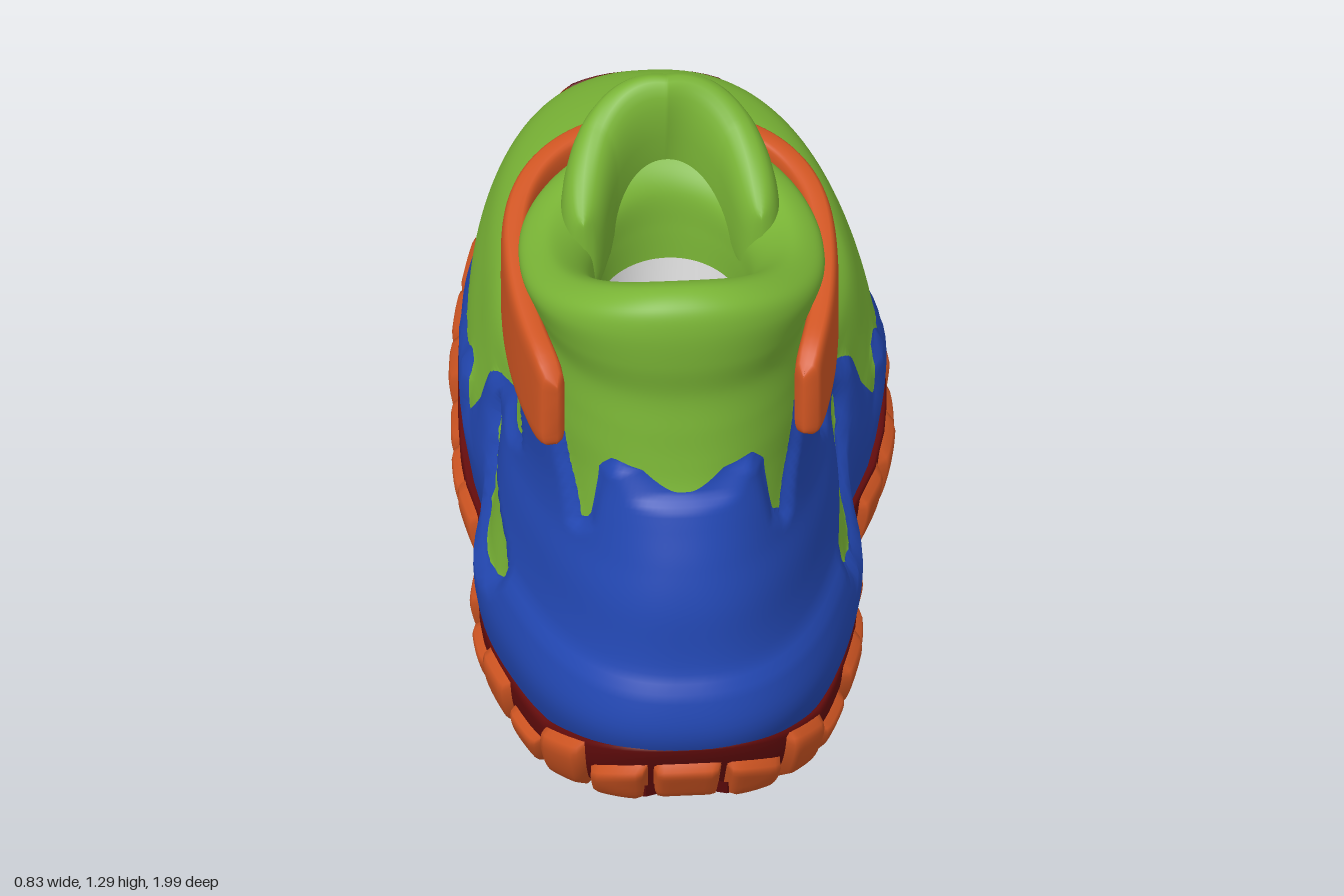
import * as THREE from 'three';
import { mergeVertices, mergeGeometries } from 'three/addons/utils/BufferGeometryUtils.js';

const V = (x, y, z) => new THREE.Vector3(x, y, z);
const { lerp, clamp, smoothstep } = THREE.MathUtils;
const mat = (name, color) => Object.assign(new THREE.MeshStandardMaterial({ color }), { name });
const spow = (v, e) => Math.sign(v) * Math.abs(v) ** e;

// Linear lookup in a [z, value] table
function at(table, z) {
  let i = 0;
  while (i < table.length - 2 && z > table[i + 1][0]) i++;
  const [a, b] = [table[i], table[i + 1]];
  return lerp(a[1], b[1], clamp((z - a[0]) / (b[0] - a[0]), 0, 1));
}
const soleBottom = z => at([[-1, .27], [-.9, .14], [-.7, .06], [-.4, .02], [-.1, .012], [0, .025], [.4, .045], [.75, .05], [.9, .09], [1, .18]], z);
const soleTop = z => at([[-1, .345], [-.95, .34], [-.88, .26], [-.8, .22], [-.6, .18], [-.4, .17], [-.2, .175], [0, .14], [.3, .17], [.8, .18], [1, .25]], z);

// Shared plan shape: curved centre line and narrow waist
const centre = z => lerp(.01, -.045, smoothstep(z, -.3, .45));
const waist = z => 1.04 - .16 * Math.exp(-(((z - .22) / .22) ** 2)) - .08 * smoothstep(z, .3, .7);

// Upper rings: back z, back y, front z, front y, half width, squareness, side dip
const RINGS = [
  [.93, .2, -.93, .2, .355, 2.5, .06],
  [.965, .28, -.95, .30, .37, 2.5, .02],
  [.94, .41, -.93, .375, .345, 2.4, 0],
  [.93, .52, -.82, .418, .325, 2.3, 0],
  [.91, .60, -.60, .45, .30, 2.2, 0],
  [.885, .67, -.35, .51, .28, 2.2, 0],
  [.86, .74, -.10, .61, .268, 2.2, 0],
  [.85, .80, .08, .74, .258, 2.2, 0],
  [.845, .86, .15, .84, .25, 2.2, 0],
  [.84, .94, .185, .93, .247, 2.2, 0],
  [.855, 1.02, .195, 1.0, .268, 2.2, .01],
  [.86, 1.1, .205, 1.06, .282, 2.2, .04],
  [.845, 1.15, .225, 1.1, .265, 2.2, .06],
  [.80, 1.17, .26, 1.12, .225, 2.1, .07],
  [.745, 1.14, .31, 1.1, .18, 2.1, .07],
  [.705, 1.07, .345, 1.05, .152, 2, .05],
  [.685, .97, .35, .97, .142, 2, .02],
  [.68, .88, .35, .9, .14, 2, 0],
];
function ringAt(t) {
  const f = t * (RINGS.length - 1), i = Math.min(Math.floor(f), RINGS.length - 2), s = f - i;
  const r = k => RINGS[clamp(i + k, 0, RINGS.length - 1)];
  return RINGS[0].map((_, c) => {
    const [a, b, d, e] = [r(-1)[c], r(0)[c], r(1)[c], r(2)[c]];
    return b + .5 * s * (d - a + s * (2 * a - 5 * b + 4 * d - e + s * (3 * (b - d) + e - a)));
  });
}
function upperPoint(u, t) {
  const a = u * Math.PI * 2, [zb, yb, zf, yf, w, p, dip] = ringAt(t);
  const c = spow(Math.cos(a), 2 / p), s = (1 - c) / 2, z = lerp(zb, zf, s);
  const y = lerp(yb, yf, s) - dip * 4 * s * (1 - s);
  const m = lerp(1, waist(z), clamp((.75 - y) / .3, 0, 1));
  return V(centre(z) + w * m * spow(Math.sin(a), 2 / p), y, z);
}
// Sole surface: v below 0 turns in on top, 0..1 is the wall, 1..2 the underside
function solePoint(u, v) {
  const a = u * Math.PI * 2;
  const f = v < 0 ? 1 + .25 * v : 1 - .07 * Math.min(v, 1) ** 2;
  const z0 = .98 * spow(Math.cos(a), .8), z = z0 * f;
  const x = .386 * waist(z0) * spow(Math.sin(a), .8) * f * (v > 1 ? 2 - v : 1);
  return V(centre(z) + x, lerp(soleTop(z), soleBottom(z), clamp(v, 0, 1)), z);
}
// Moves a surface point along its normal
function offset(fn, u, v, d) {
  const e = .002, p = fn(u, v);
  const n = fn(u + e, v).sub(fn(u - e, v)).cross(fn(u, Math.min(v + e, 1)).sub(fn(u, Math.max(v - e, 0))));
  return p.addScaledVector(n.normalize(), d);
}
function fromSoup(points) {
  const m = mergeVertices(new THREE.BufferGeometry().setFromPoints(points), 1e-5);
  m.computeVertexNormals();
  return m;
}
// Triangles of a surface fn(u, v) with u, v in 0..1
function triangles(nu, nv, fn) {
  const P = [], out = [];
  for (let j = 0; j <= nv; j++) for (let i = 0; i <= nu; i++) P.push(fn(i / nu, j / nv));
  for (let j = 0; j < nv; j++) for (let i = 0; i < nu; i++) {
    const a = j * (nu + 1) + i, b = a + nu + 1;
    out.push([P[a], P[a + 1], P[b + 1]], [P[a], P[b + 1], P[b]]);
  }
  return out;
}
const surface = (nu, nv, fn) => fromSoup(triangles(nu, nv, fn).flat());

// Upright band with rounded section along a plan path; k runs 0 at the front to 1 at both ends
function band(path, half, thick, lean, round) {
  return surface(100, 28, (u, v) => {
    const p = path(2 * u - 1), q = v * Math.PI * 2, k = Math.abs(2 * u - 1);
    const dir = path(Math.min(2 * u - .99, 1)).sub(path(Math.max(2 * u - 1.01, -1)));
    const n = V(dir.z, 0, -dir.x).normalize();
    if (n.dot(V(p.x + .043, 0, p.z - .5)) < 0) n.negate();
    const up = half(k) * spow(Math.sin(q), round), out = thick(k) * spow(Math.cos(q), round + .15);
    return V(p.x + n.x * out, p.y + up, p.z + n.z * out + up * lean * Math.max(0, 1 - k / .6));
  });
}

// Side outlines (z, y) of the overlay and of its window
const OVERLAY = [[1.2, -.1], [-.9, -.1], [-.9, .3], [-.8, .285], [-.6, .255], [-.4, .265], [-.2, .3], [-.17, .335], [-.09, .34],
  [-.06, .27], [-.01, .265], [.015, .4], [.04, .43], [.12, .465], [.25, .53], [.42, .565], [.48, .6], [.45, .68], [.38, .82],
  [.7, .82], [.72, .72], [.765, .62], [.785, .64], [.79, .76], [.81, .79], [.84, .78], [.862, .735], [1.2, .7]];
const WINDOW = [[.57, .35], [.52, .385], [.43, .415], [.28, .432], [.16, .43], [.14, .41], [.2, .35], [.32, .31], [.45, .3], [.54, .32]];
// Signed distance to a polygon, positive inside
function inside(poly, x, y) {
  let d = 1e9, s = -1;
  poly.forEach(([ax, ay], i) => {
    const [bx, by] = poly[(i + 1) % poly.length], ex = bx - ax, ey = by - ay;
    const t = clamp(((x - ax) * ex + (y - ay) * ey) / (ex * ex + ey * ey), 0, 1);
    d = Math.min(d, Math.hypot(x - ax - ex * t, y - ay - ey * t));
    if ((ay > y) !== (by > y) && x < ax + ex * (y - ay) / ey) s = -s;
  });
  return d * s;
}
// Part of a triangle where sign * d is positive
function clip(tri, sign) {
  const poly = [], out = [];
  tri.forEach((p, i) => {
    const q = tri[(i + 1) % 3];
    if (p.d * sign >= 0) poly.push(p);
    if (p.d * q.d < 0) poly.push(p.clone().lerp(q, p.d / (p.d - q.d)));
  });
  for (let i = 1; i + 1 < poly.length; i++) out.push(poly[0], poly[i], poly[i + 1]);
  return out;
}

export function createModel() {
  const group = new THREE.Group();
  const green = mat('knit green', 0x7ab536), blue = mat('overlay blue', 0x2348b4), white = mat('lining white', 0xe6e6e6);
  const orange = mat('rubber orange', 0xd05522), red = mat('sole dark red', 0x640c0c);
  const add = (name, geo, m) => {
    const mesh = new THREE.Mesh(geo, m);
    mesh.name = name;
    group.add(mesh);
    return mesh;
  };

  // Upper with collar, and the raised overlay cut from the same surface
  const skin = triangles(180, 130, (u, t) => {
    const q = upperPoint(u, t);
    const d = Math.min(inside(OVERLAY, q.z, q.y), -inside(WINDOW, q.z, q.y));
    const heelBand = .01 * smoothstep(-q.y, -.38, -.35) * smoothstep(q.z, .1, .5);
    const p = d > 0 ? offset(upperPoint, u, t, (.016 + heelBand) * smoothstep(d, 0, .03)) : q;
    p.d = d;
    return p;
  });
  const upper = add('upper', fromSoup(skin.flatMap(t => clip(t, -1))), green);
  add('sideOverlay', fromSoup(skin.flatMap(t => clip(t, 1))), blue);

  // Inner lining with footbed
  add('lining', surface(48, 12, (u, t) => {
    const a = u * Math.PI * 2, r = Math.min(1, (1 - t) * 4);
    return V(-.043 + .143 * r * Math.sin(a), lerp(.92, .3, Math.min(1, t / .75)), .515 + .168 * r * Math.cos(a));
  }), white);

  // Tongue: padded horseshoe inside the collar front
  add('tongue', band(s => V(-.04 - .165 * Math.sin(s * 1.6), 1.09 - .1 * s * s, .48 - .22 * Math.cos(s * 1.6)),
    k => .195 - .1 * k * k, k => .05 * Math.sqrt(1 - k ** 8), .25, .7), green);

  // Ankle strap: rounded band round the front, open at the heel
  const strapEnd = k => Math.max(0, (k - .88) / .12);
  add('ankleStrap', band(s => {
    const k = Math.abs(s), b = Math.min(k / .62, 1) * Math.PI / 2, r = Math.max(0, k - .62) / .38;
    const z = k < .62 ? .45 - .295 * spow(Math.cos(b), .85) : lerp(.45, .735, r);
    const x = .285 * spow(Math.sin(b), .9) * (1 - .2 * r * r);
    return V(-.043 - Math.sign(s) * x, lerp(.985, .835, (z - .155) / .58), z);
  }, k => lerp(.122, .1, k) * (1 - .35 * strapEnd(k) ** 3),
  k => .026 * Math.sqrt(1 - strapEnd(k) ** 8), .25, .35), orange);

  // Sole core
  add('soleCore', surface(120, 26, (u, v) => solePoint(u, 2 - 2.3 * v)), red);

  // Chunky rubber blocks, evenly spaced around the sole
  const rim = new THREE.CatmullRomCurve3(Array.from({ length: 120 }, (_, i) => solePoint(i / 120, .5)), true);
  const edge = k => rim.getUtoTmapping(k - Math.floor(k)) + Math.floor(k);
  const blocks = [], N = 34;
  for (let i = 0; i < N; i++) {
    const u0 = edge((i - .485) / N), u1 = edge((i + .485) / N), z = solePoint((u0 + u1) / 2, 0).z;
    const top = z > .93 ? .5 : z > .1 && z < .75 && i % 2 ? .4 : z < -.1 && z > -.3 ? .3 : .04;
    const wall = (u, v) => solePoint(u, lerp(1.12, top, v));
    blocks.push(surface(10, 10, (s, r) => offset(wall, lerp(u0, u1, s), r,
      .026 * (1 - Math.abs(2 * s - 1) ** 9) * (1 - Math.abs(2 * r - 1) ** 7) - .006)));
  }
  add('soleBlocks', mergeGeometries(blocks), orange);

  // Hexagonal tread lugs, open on top
  const lugs = [], profile = [[0, -.015], [.062, -.015], [.084, .015]].map(p => new THREE.Vector2(...p));
  for (let j = -7; j <= 7; j++) for (let i = -3; i <= 3; i++) {
    const z = j * .122, x = (i + (j % 2 ? .5 : 0)) * .15;
    const half = .36 * waist(z) * (1 - Math.abs(z / .97) ** 2.5) ** .4;
    if (Math.abs(x) > half - .08) continue;
    const slope = (soleBottom(z + .05) - soleBottom(z - .05)) / .1;
    lugs.push(new THREE.LatheGeometry(profile, 6).rotateX(-Math.atan(slope)).translate(centre(z) + x, soleBottom(z) + .004, z));
  }
  const tread = mergeGeometries(lugs).toNonIndexed();
  tread.computeVertexNormals();
  add('treadLugs', tread, red);

  // Crossed laces laid over the instep
  const ray = new THREE.Raycaster();
  const height = (x, z) => {
    ray.set(V(x, .95, z), V(0, -1, 0));
    const hit = ray.intersectObject(upper)[0];
    return hit ? hit.point.y : .8;
  };
  const lace = (x0, z0, x1, z1) => {
    const pts = [];
    for (let i = 0; i <= 10; i++) {
      const s = i / 10, x = lerp(x0, x1, s), z = lerp(z0, z1, s);
      pts.push(V(x, height(x, z) + (i % 10 ? .02 : -.01), z));
    }
    add('lace', new THREE.TubeGeometry(new THREE.CatmullRomCurve3(pts), 40, .024, 8), orange);
  };
  const eyelets = [[.12, -.4], [.225, -.29], [.235, -.16], [.235, -.03], [.235, .09], [.22, .19]];
  eyelets.slice(1).forEach(([w, z], i) => {
    const [pw, pz] = eyelets[i];
    for (const s of [-1, 1]) lace(-.015 + s * pw, pz, -.015 - s * w, z);
  });
  lace(-.13, -.4, .1, -.4);
  return group;
}
